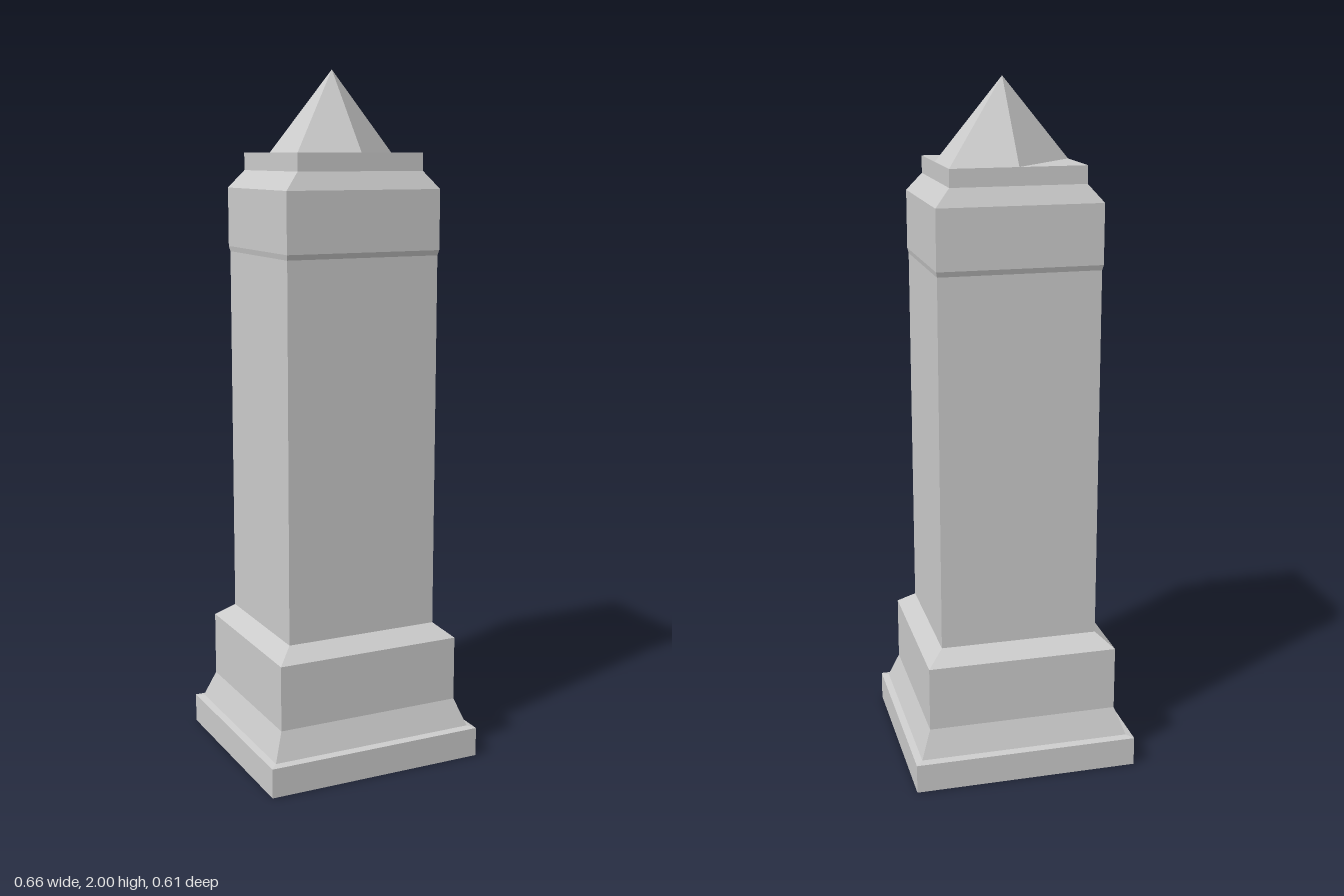
import * as THREE from 'three';

const material = new THREE.MeshStandardMaterial({ color: 0xcccccc, flatShading: true });

// Mesh from a list of triangles, each three [x, y, z] corners
function facetMesh(name, triangles) {
  const geometry = new THREE.BufferGeometry();
  geometry.setAttribute('position', new THREE.Float32BufferAttribute(triangles.flat(2), 3));
  geometry.computeVertexNormals();
  const mesh = new THREE.Mesh(geometry, material);
  mesh.name = name;
  return mesh;
}

// Corners of a level rectangle, anticlockwise from above
const ring = ([hx, hz, y]) => [[hx, y, hz], [hx, y, -hz], [-hx, y, -hz], [-hx, y, hz]];

// Rectangular tier through sections of [half width, half depth, height]
function tier(name, sections, closedBelow = false) {
  const triangles = [];
  for (let s = 0; s < sections.length - 1; s++) {
    const a = ring(sections[s]), b = ring(sections[s + 1]);
    for (let i = 0; i < 4; i++) {
      const j = (i + 1) % 4;
      triangles.push([a[i], a[j], b[j]], [a[i], b[j], b[i]]);
    }
  }
  if (closedBelow) {
    const a = ring(sections[0]);
    triangles.push([a[0], a[2], a[1]], [a[0], a[3], a[2]]);
  }
  return facetMesh(name, triangles);
}

// Pointed cap: two opposite corners reach the apex, the other two lie flat
function pointedCap(hx, hz, y, top) {
  const apex = [0, top, 0];
  const triangles = [];
  for (const s of [1, -1]) {
    const side = [s * hx, y, 0], end = [0, y, s * hz];
    const flat = [s * hx, y, s * hz];
    const ridge = [s * hx, y, -s * hz], farEnd = [0, y, -s * hz];
    triangles.push(
      [end, side, apex], [end, flat, side],
      [side, ridge, apex], [ridge, farEnd, apex]
    );
  }
  return facetMesh('pointedCap', triangles);
}

export function createModel() {
  const group = new THREE.Group();
  group.name = 'obelisk';
  group.add(
    // Stepped base
    tier('plinth', [[0.33, 0.305, 0], [0.33, 0.305, 0.086], [0.31, 0.284, 0.09]], true),
    tier('pedestal', [[0.31, 0.284, 0.09], [0.28, 0.255, 0.17], [0.28, 0.255, 0.36], [0.232, 0.206, 0.4]]),
    // Upright and its slightly wider head
    tier('shaft', [[0.232, 0.206, 0.4], [0.232, 0.206, 1.485]]),
    tier('head', [[0.232, 0.206, 1.485], [0.235, 0.211, 1.5], [0.235, 0.211, 1.67], [0.192, 0.188, 1.72], [0.192, 0.188, 1.77]]),
    pointedCap(0.192, 0.188, 1.77, 2)
  );
  return group;
}
